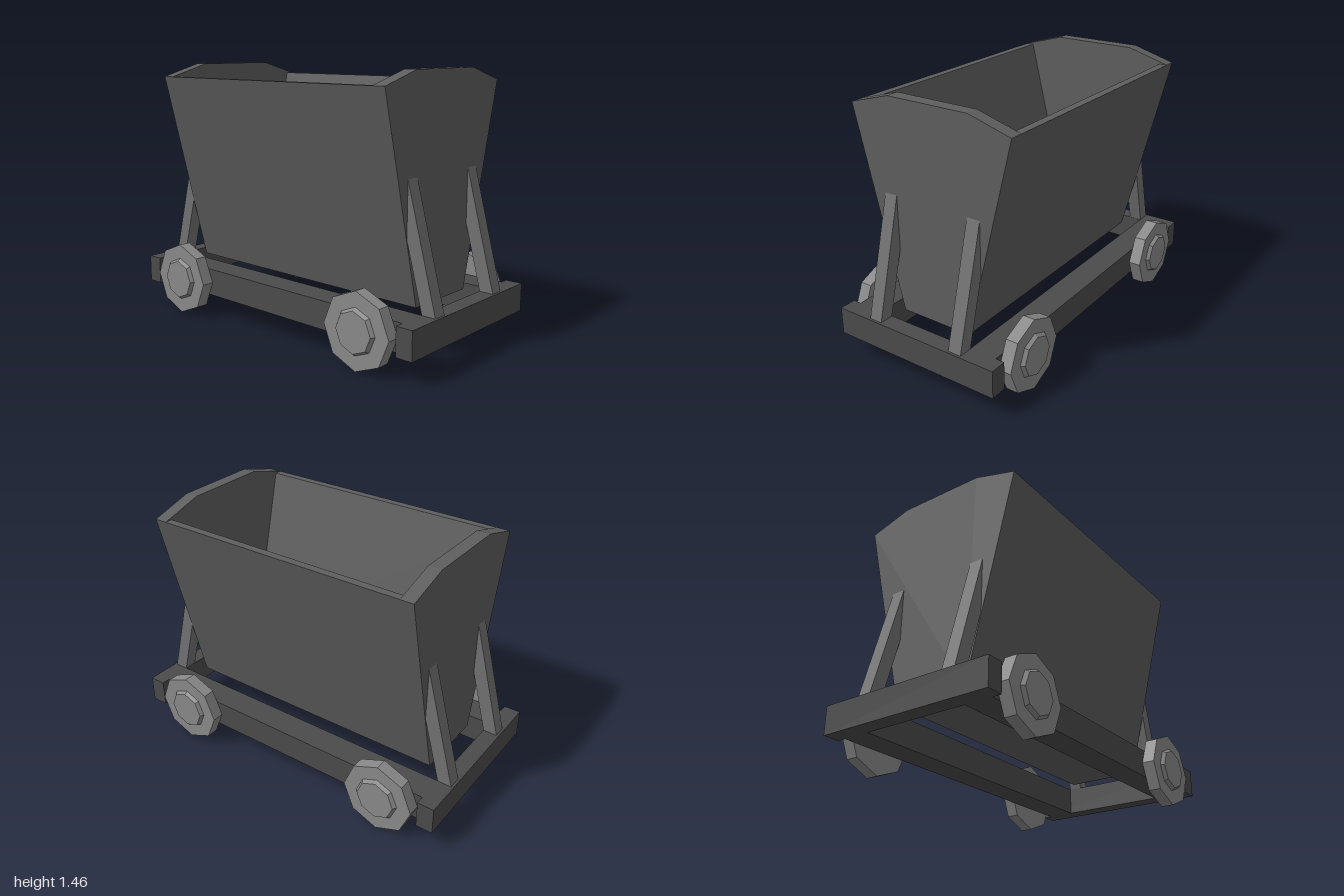
import * as THREE from 'three';

const paint = (color) => new THREE.MeshStandardMaterial({ color, flatShading: true });
const hopperPaint = paint(0x5e5e5e);
const framePaint = paint(0x4b4b4b);
const strutPaint = paint(0x717171);
const wheelPaint = paint(0x898989);

function add(parent, geometry, material, name, x = 0, y = 0, z = 0) {
  const mesh = new THREE.Mesh(geometry, material);
  mesh.name = name;
  mesh.position.set(x, y, z);
  parent.add(mesh);
  return mesh;
}

// Prism from a 2D outline, centred on its extrusion axis
function prism(points, depth) {
  const shape = new THREE.Shape(points.map(([a, b]) => new THREE.Vector2(a, b)));
  const geometry = new THREE.ExtrudeGeometry(shape, { depth, bevelEnabled: false });
  return geometry.translate(0, 0, -depth / 2);
}

function createHopper() {
  const hopper = new THREE.Group();
  hopper.name = 'hopper';
  // Floor and sloping long walls: one trough section run along x
  const trough = [
    [-0.215, 0.28], [0.215, 0.28], [0.49, 1.39], [0.445, 1.39],
    [0.183, 0.34], [-0.183, 0.34], [-0.445, 1.39], [-0.49, 1.39],
  ];
  add(hopper, prism(trough, 1.47).rotateY(Math.PI / 2), hopperPaint, 'trough');
  // End walls rise above the long walls with clipped shoulders
  const end = [
    [-0.215, 0.28], [0.215, 0.28], [0.49, 1.39],
    [0.245, 1.46], [-0.245, 1.46], [-0.49, 1.39],
  ];
  for (const s of [-1, 1]) {
    add(hopper, prism(end, 0.075).rotateY(Math.PI / 2), hopperPaint, 'endWall', s * 0.7725);
  }
  return hopper;
}

function createFrame() {
  const frame = new THREE.Group();
  frame.name = 'frame';
  for (const s of [-1, 1]) {
    add(frame, new THREE.BoxGeometry(0.095, 0.155, 1.01), framePaint, 'endBeam', s * 0.9525, 0.2075, 0);
    add(frame, new THREE.BoxGeometry(1.81, 0.155, 0.155), framePaint, 'sideRail', 0, 0.2075, s * 0.378);
    // Slanted struts leaning from the end beams into the hopper ends
    for (const t of [-1, 1]) {
      const strut = [[0.908, 0.28], [0.988, 0.28], [0.805, 0.96], [0.805, 0.66]];
      const mesh = add(frame, prism(strut, 0.077), strutPaint, 'strut', 0, 0, t * 0.263);
      if (s < 0) mesh.rotation.y = Math.PI;
    }
  }
  return frame;
}

// Eight-sided wheel with a chamfered hub, facing +z
function createWheel() {
  const wheel = new THREE.Group();
  wheel.name = 'wheel';
  const disc = new THREE.CylinderGeometry(0.206, 0.206, 0.07, 8).rotateX(Math.PI / 2);
  add(wheel, disc, wheelPaint, 'wheelDisc', 0, 0, 0.035);
  const hub = new THREE.CylinderGeometry(0.11, 0.124, 0.02, 8).rotateX(Math.PI / 2);
  add(wheel, hub, wheelPaint, 'hub', 0, 0, 0.08);
  return wheel;
}

export function createModel() {
  const model = new THREE.Group();
  model.name = 'mineCart';
  model.add(createHopper(), createFrame());
  for (const x of [-0.675, 0.675]) {
    for (const s of [-1, 1]) {
      const wheel = createWheel();
      wheel.position.set(x, 0.206, s * 0.455);
      if (s < 0) wheel.rotation.y = Math.PI;
      model.add(wheel);
    }
  }
  return model;
}
